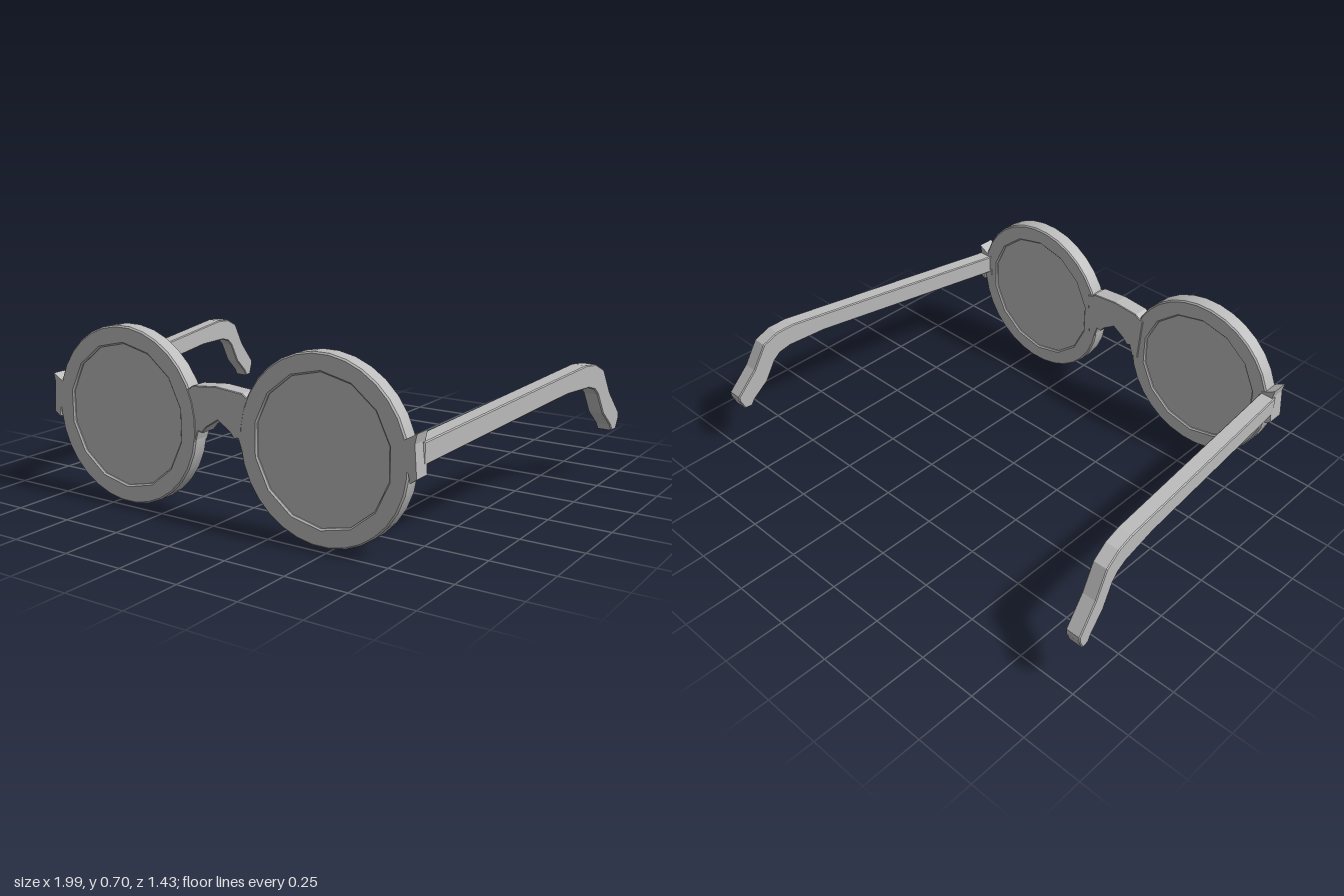
import * as THREE from 'three';
import { toCreasedNormals } from 'three/addons/utils/BufferGeometryUtils.js';

const FRONT = 0.715, BACK = 0.645;      // depth range of the front frame
const EYE_X = 0.452, EYE_Y = 0.355;     // centre of each eye opening

const points = (list) => list.map(([x, y]) => new THREE.Vector2(x, y));
const ring = (r, n) => Array.from({ length: n }, (_, i) => {
  const a = ((i + 0.5) / n) * Math.PI * 2;
  return new THREE.Vector2(Math.cos(a) * r, Math.sin(a) * r);
});

// Extrude an outline between two depths, with an optional small bevel
function slab(outline, z0, z1, bevel = 0, hole = null) {
  const shape = new THREE.Shape(outline);
  if (hole) shape.holes.push(new THREE.Path(hole));
  const geo = new THREE.ExtrudeGeometry(shape, {
    depth: z1 - z0 - 2 * bevel, bevelEnabled: bevel > 0, bevelThickness: bevel,
    bevelSize: bevel, bevelOffset: -bevel, bevelSegments: 1,
  });
  return geo.translate(0, 0, z0 + bevel);
}

// Temple arm: side profile given as (z, y), splayed outward towards the ear
function templeGeometry(side) {
  const profile = [
    [0.66, 0.436], [-0.42, 0.516], [-0.5, 0.508], [-0.57, 0.474], [-0.63, 0.37],
    [-0.72, 0.268], [-0.72, 0.248], [-0.7, 0.2], [-0.665, 0.2], [-0.65, 0.226],
    [-0.58, 0.29], [-0.53, 0.378], [-0.5, 0.405], [-0.45, 0.42], [-0.28, 0.425],
    [0.66, 0.354],
  ];
  const geo = slab(points(profile.map(([z, y]) => [-z, y])), -0.032, 0.032, 0.004);
  const pos = geo.attributes.position;
  for (let i = 0; i < pos.count; i++) {
    const z = -pos.getX(i), across = pos.getZ(i);
    const centre = 0.8 + (BACK - z) * 0.119;
    pos.setXYZ(i, side * centre + across, pos.getY(i), z);
  }
  geo.computeVertexNormals();
  return geo;
}

export function createModel() {
  const model = new THREE.Group();
  model.name = 'glasses';
  const grey = new THREE.MeshStandardMaterial({ color: 0xbcbcbc });
  grey.name = 'grey';

  const add = (name, geo) => {
    const mesh = new THREE.Mesh(geo, grey);
    mesh.name = name;
    model.add(mesh);
    return mesh;
  };

  for (const [label, side] of [['left', 1], ['right', -1]]) {
    // Round rim with a faceted opening
    const rim = toCreasedNormals(slab(ring(0.351, 32), BACK, FRONT, 0.006, ring(0.281, 14)), 0.5);
    add(label + 'Rim', rim).position.set(side * EYE_X, EYE_Y, 0);

    // Lens set slightly inside the rim
    const lens = slab(ring(0.295, 14), BACK + 0.01, FRONT - 0.01);
    add(label + 'Lens', lens).position.set(side * EYE_X, EYE_Y, 0);

    // End piece where the temple meets the rim
    const end = [[0.76, 0.44], [0.785, 0.45], [0.832, 0.477], [0.824, 0.44],
      [0.833, 0.32], [0.808, 0.302], [0.8, 0.34], [0.76, 0.34]];
    const outline = points(end.map(([x, y]) => [side * x, y]));
    add(label + 'EndPiece', slab(outline, BACK - 0.002, FRONT));

    add(label + 'Temple', templeGeometry(side));
  }

  // Keyhole bridge, outlined on one half and mirrored
  const half = [[0, 0.4], [0.055, 0.365], [0.075, 0.341], [0.093, 0.346], [0.108, 0.3],
    [0.14, 0.3], [0.155, 0.497], [0.13, 0.505], [0.115, 0.516], [0, 0.526]];
  const mirrored = half.slice(1, -1).reverse().map(([x, y]) => [-x, y]);
  add('bridge', slab(points([...half, ...mirrored]), BACK - 0.004, FRONT - 0.002, 0.003));

  return model;
}
